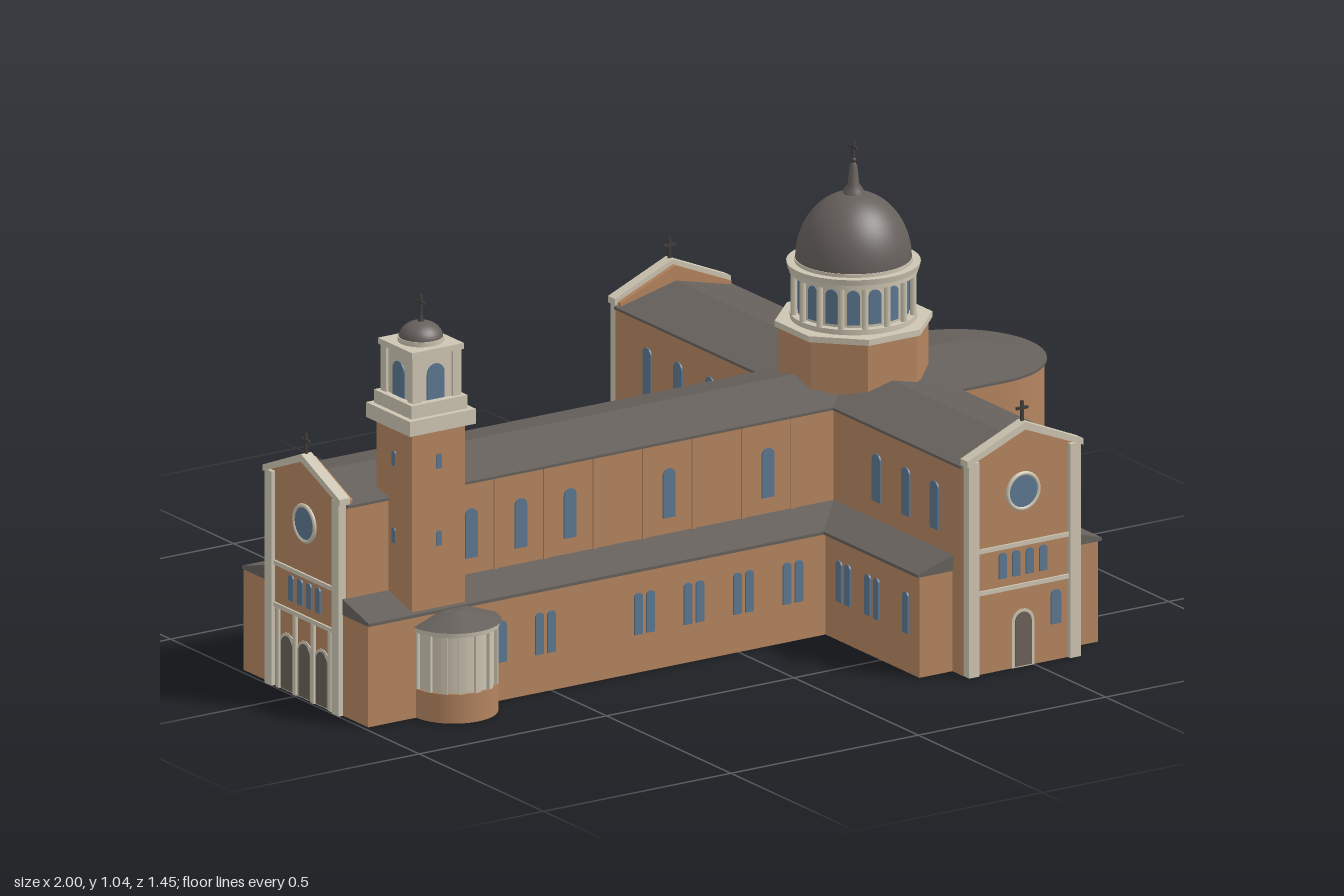
import * as THREE from 'three';

const paint = (name, color) => { const m = new THREE.MeshStandardMaterial({ color }); m.name = name; return m; };
const brick = paint('brick', 0xb4845f), roof = paint('roofSlate', 0x66605c), stone = paint('paleStone', 0xcdc5b2);
const glass = paint('windowBlue', 0x5c7690), wood = paint('doorGrey', 0x6a6058), iron = paint('darkIron', 0x3f3d3c);

const CX = 0.47, CZ = 0.027, APSE_X = 0.745;

function add(parent, name, geo, mat, x = 0, y = 0, z = 0, ry = 0) {
  const m = new THREE.Mesh(geo, mat);
  m.name = name;
  m.position.set(x, y, z);
  m.rotation.y = ry;
  parent.add(m);
  return m;
}
// box given by its min and max corners
function block(parent, name, mat, x0, x1, y0, y1, z0, z1) {
  return add(parent, name, new THREE.BoxGeometry(x1 - x0, y1 - y0, z1 - z0), mat, (x0 + x1) / 2, (y0 + y1) / 2, (z0 + z1) / 2);
}
const cyl = (rt, rb, h, n = 40, start = 0, len = Math.PI * 2) => new THREE.CylinderGeometry(rt, rb, h, n, 1, false, start, len);
const extrude = (pts, depth) => new THREE.ExtrudeGeometry(new THREE.Shape(pts.map(p => new THREE.Vector2(...p))), { depth, bevelEnabled: false });
// profile (x, y) swept along z, or profile (z, y) swept along x
const sweepZ = (g, name, mat, pts, z0, z1) => add(g, name, extrude(pts, z1 - z0), mat, 0, 0, z0);
const sweepX = (g, name, mat, pts, x0, x1) => add(g, name, extrude(pts.map(([z, y]) => [-z, y]), x1 - x0), mat, x0, 0, 0, Math.PI / 2);
const gable = (c, h) => [[c - h, 0.484], [c + h, 0.484], [c + h, 0.49], [c, 0.527], [c - h, 0.49]];
const shed = (inner, outer) => [[inner, 0.236], [outer, 0.236], [outer, 0.243], [inner, 0.273]];

// thin round-headed plate whose foot is at y, facing +z before turning by ry
function arch(parent, name, mat, w, h, x, y, z, ry = 0, depth = 0.006) {
  const s = new THREE.Shape();
  s.moveTo(-w / 2, 0);
  s.lineTo(w / 2, 0);
  s.lineTo(w / 2, h - w / 2);
  s.absarc(0, h - w / 2, w / 2, 0, Math.PI, false);
  s.closePath();
  return add(parent, name, new THREE.ExtrudeGeometry(s, { depth, bevelEnabled: false, curveSegments: 8 }), mat, x, y, z, ry);
}

function cross(parent, x, y, z, h, ry = 0) {
  const g = new THREE.Group();
  g.name = 'cross';
  block(g, 'crossPost', iron, -0.003, 0.003, 0, h, -0.003, 0.003);
  block(g, 'crossArm', iron, -0.015, 0.015, h * 0.64, h * 0.64 + 0.006, -0.003, 0.003);
  g.position.set(x, y, z);
  g.rotation.y = ry;
  parent.add(g);
}

// gabled front facing +z; the main entrance has three doors
function facade(parent, name, x, z, ry, roseMat, doors) {
  const g = new THREE.Group();
  g.name = name;
  sweepZ(g, 'facadeWall', brick, [[-0.148, 0], [0.148, 0], [0.148, 0.5], [0, 0.562], [-0.148, 0.5]], -0.02, 0.008);
  sweepZ(g, 'rakingCornice', stone, [[-0.155, 0.493], [0, 0.556], [0.155, 0.493], [0.155, 0.508], [0, 0.574], [-0.155, 0.508]], -0.008, 0.02);
  for (const s of [-1, 1]) block(g, 'cornerPilaster', stone, s * 0.135 - 0.014, s * 0.135 + 0.014, 0, 0.5, -0.01, 0.018);
  for (const y of [0.19, 0.288]) block(g, 'stringCourse', stone, -0.122, 0.122, y - 0.005, y + 0.005, 0, 0.013);
  add(g, 'roseWindow', cyl(0.04, 0.04, 0.006, 32), roseMat, 0, 0.41, 0.009).rotation.x = Math.PI / 2;
  add(g, 'roseRing', new THREE.TorusGeometry(0.041, 0.005, 8, 32), stone, 0, 0.41, 0.01);
  for (let i = 0; i < 4; i++) arch(g, 'galleryWindow', glass, 0.02, 0.06, -0.054 + i * 0.036, 0.215, 0.006);
  for (const dx of doors) {
    arch(g, 'doorFrame', stone, 0.06, 0.135, dx, 0, 0.004);
    arch(g, 'door', wood, 0.044, 0.125, dx, 0.003, 0.006);
  }
  if (doors.length > 1) for (const dx of [-0.105, -0.036, 0.036, 0.105])
    block(g, 'portalPilaster', stone, dx - 0.006, dx + 0.006, 0, 0.185, 0, 0.014);
  cross(g, 0, 0.565, 0.006, 0.055);
  g.position.set(x, 0, z);
  g.rotation.y = ry;
  parent.add(g);
  return g;
}

function naveAndTransept(g) {
  // walls
  block(g, 'naveWall', brick, -0.98, 0.63, 0, 0.486, CZ - 0.15, CZ + 0.15);
  block(g, 'aisleWall', brick, -0.988, 0.32, 0, 0.238, -0.224, 0.277);
  block(g, 'transeptWall', brick, CX - 0.15, CX + 0.15, 0, 0.486, -0.7, 0.7);
  block(g, 'transeptAisleWall', brick, 0.232, 0.709, 0, 0.238, -0.655, 0.655);
  // roofs
  sweepX(g, 'naveRoof', roof, gable(CZ, 0.156), -0.98, CX);
  sweepZ(g, 'transeptRoof', roof, gable(CX, 0.156), -0.697, 0.697);
  sweepX(g, 'choirRoof', roof, gable(CZ, 0.203), CX, APSE_X);
  for (const s of [-1, 1]) {
    sweepX(g, 'aisleRoof', roof, shed(CZ + s * 0.148, CZ + s * 0.255), -0.99, 0.32);
    for (const e of [-1, 1]) {
      const z0 = e > 0 ? CZ + s * 0.25 : CZ + s * 0.15, z1 = s * 0.66;
      sweepZ(g, 'transeptAisleRoof', roof, shed(CX + e * 0.148, CX + e * 0.246), Math.min(z0, z1), Math.max(z0, z1));
    }
  }
  // nave windows and wall strips, with gaps on the front side
  for (const s of [-1, 1]) {
    const ry = s > 0 ? 0 : Math.PI, upZ = CZ + s * 0.148, lowZ = s > 0 ? 0.275 : -0.222;
    for (let i = -2; i < 7; i++) {
      const x = -0.648 + i * 0.132;
      if (s < 0 || [0, 1, 2, 4, 6].includes(i)) arch(g, 'naveWindow', glass, 0.032, 0.115, x, 0.31, upZ, ry);
      if (s < 0 || (i >= 0 && i !== 2)) for (const d of [-0.016, 0.016]) arch(g, 'aisleWindow', glass, 0.022, 0.097, x + d, 0.09, lowZ, ry);
      block(g, 'wallStrip', brick, x + 0.061, x + 0.071, 0.26, 0.485, upZ - 0.005, upZ + 0.005);
    }
  }
  // transept windows on both long sides
  for (const e of [-1, 1]) {
    const ry = e * Math.PI / 2;
    for (const z of [0.585, 0.47, 0.353, -0.318, -0.446, -0.57]) arch(g, 'transeptWindow', glass, 0.033, 0.112, CX + e * 0.148, 0.315, z, ry);
    for (const z of [0.603, 0.485, 0.45, 0.37, 0.335, -0.33, -0.364, -0.434, -0.468, -0.553])
      arch(g, 'transeptAisleWindow', glass, 0.022, 0.096, CX + e * 0.2365, 0.092, z, ry);
  }
  // gabled fronts
  const front = facade(g, 'frontFacade', CX, 0.703, 0, glass, [0]);
  arch(front, 'sideWindow', glass, 0.026, 0.08, 0.088, 0.085, 0.006);
  facade(g, 'backFacade', CX, -0.703, Math.PI, stone, [0]);
  facade(g, 'entranceFacade', -0.982, CZ, -Math.PI / 2, glass, [-0.07, 0, 0.07]);
}

function apse(g) {
  block(g, 'choirWall', brick, CX, APSE_X, 0, 0.486, CZ - 0.198, CZ + 0.198);
  block(g, 'lowerChoirWall', brick, CX, APSE_X, 0, 0.24, CZ - 0.242, CZ + 0.242);
  const half = (rt, rb, h) => cyl(rt, rb, h, 32, 0, Math.PI);
  add(g, 'upperApseWall', half(0.198, 0.198, 0.486), brick, APSE_X, 0.243, CZ);
  add(g, 'lowerApseWall', half(0.242, 0.242, 0.238), brick, APSE_X, 0.119, CZ);
  add(g, 'upperApseEave', half(0.203, 0.203, 0.006), roof, APSE_X, 0.487, CZ);
  add(g, 'upperApseRoof', half(0.0005, 0.203, 0.037), roof, APSE_X, 0.5085, CZ);
  add(g, 'lowerApseEave', half(0.25, 0.25, 0.006), roof, APSE_X, 0.239, CZ);
  add(g, 'lowerApseRoof', half(0.197, 0.25, 0.03), roof, APSE_X, 0.257, CZ);
  for (const s of [-1, 1]) sweepX(g, 'lowerChoirRoof', roof, shed(CZ + s * 0.197, CZ + s * 0.25), 0.71, APSE_X);
}

function dome(parent) {
  const g = new THREE.Group();
  g.name = 'crossingDome';
  const octagon = (name, mat, apothem, y0, y1) => {
    const geo = cyl(apothem / Math.cos(Math.PI / 8), apothem / Math.cos(Math.PI / 8), y1 - y0, 8).toNonIndexed();
    geo.computeVertexNormals();
    add(g, name, geo, mat, 0, (y0 + y1) / 2, 0, Math.PI / 8);
  };
  octagon('octagonBase', brick, 0.157, 0.45, 0.624);
  octagon('octagonCornice', stone, 0.165, 0.622, 0.636);
  add(g, 'drumFoot', cyl(0.142, 0.142, 0.012), stone, 0, 0.642);
  add(g, 'drum', cyl(0.125, 0.125, 0.11), stone, 0, 0.695);
  for (let i = 0; i < 16; i++) {
    const a = i * Math.PI / 8, b = a + Math.PI / 16;
    add(g, 'drumColumn', cyl(0.0075, 0.0075, 0.1, 10), stone, Math.sin(a) * 0.135, 0.696, Math.cos(a) * 0.135);
    arch(g, 'drumWindow', glass, 0.029, 0.08, Math.sin(b) * 0.122, 0.655, Math.cos(b) * 0.122, b);
  }
  add(g, 'drumArchitrave', cyl(0.143, 0.143, 0.012), stone, 0, 0.748);
  add(g, 'drumCornice', cyl(0.15, 0.147, 0.014), stone, 0, 0.76);
  add(g, 'domeFoot', cyl(0.132, 0.132, 0.01), stone, 0, 0.77);
  const shell = add(g, 'domeShell', new THREE.SphereGeometry(0.13, 48, 20, 0, Math.PI * 2, 0, Math.PI / 2), roof, 0, 0.773);
  shell.scale.y = 1.18;
  // tapering finial
  const profile = [[0.026, 0.915], [0.022, 0.932], [0.013, 0.945], [0.009, 0.985], [0.003, 1.0]].map(p => new THREE.Vector2(...p));
  add(g, 'finial', new THREE.LatheGeometry(profile, 20), roof);
  add(g, 'finialBall', new THREE.SphereGeometry(0.007, 12, 8), iron, 0, 1.0);
  cross(g, 0, 0.998, 0, 0.046, Math.PI / 2);
  g.position.set(CX, 0, CZ + 0.004);
  parent.add(g);
}

function bellTower(parent) {
  const g = new THREE.Group();
  g.name = 'bellTower';
  const tier = (name, mat, w, y0, y1) => block(g, name, mat, -w / 2, w / 2, y0, y1, -w / 2, w / 2);
  tier('towerShaft', brick, 0.142, 0, 0.665);
  tier('balcony', stone, 0.176, 0.663, 0.698);
  tier('belfryFoot', stone, 0.15, 0.698, 0.729);
  tier('belfry', stone, 0.116, 0.729, 0.838);
  tier('belfryCornice', stone, 0.138, 0.836, 0.85);
  add(g, 'capDrum', cyl(0.052, 0.052, 0.012, 24), stone, 0, 0.855);
  add(g, 'capDome', new THREE.SphereGeometry(0.05, 28, 10, 0, Math.PI * 2, 0, Math.PI / 2), roof, 0, 0.858).scale.y = 0.76;
  add(g, 'capFinial', cyl(0.003, 0.008, 0.02, 12), iron, 0, 0.902);
  cross(g, 0, 0.9, 0, 0.056, Math.PI / 2);
  for (let i = 0; i < 4; i++) {
    const a = i * Math.PI / 2, s = Math.sin(a), c = Math.cos(a);
    arch(g, 'belfryOpening', glass, 0.046, 0.082, s * 0.055, 0.73, c * 0.055, a);
    for (const y of [0.39, 0.57]) arch(g, 'slitWindow', glass, 0.014, 0.035, s * 0.068, y, c * 0.068, a);
    const p = i * Math.PI / 2 + Math.PI / 4;
    add(g, 'belfryPilaster', new THREE.BoxGeometry(0.022, 0.108, 0.022), stone, Math.sin(p) * 0.076, 0.783, Math.cos(p) * 0.076);
  }
  g.position.set(-0.797, 0, 0.201);
  parent.add(g);
}

function roundChapel(parent) {
  const g = new THREE.Group();
  g.name = 'roundChapel';
  const half = (rt, rb, h) => cyl(rt, rb, h, 28, -Math.PI / 2, Math.PI);
  add(g, 'chapelBase', half(0.1, 0.1, 0.068), brick, 0, 0.034);
  add(g, 'chapelWall', half(0.094, 0.094, 0.15), stone, 0, 0.139);
  for (let i = 0; i < 9; i++) {
    const a = (i / 8 - 0.5) * Math.PI;
    add(g, 'chapelPilaster', new THREE.BoxGeometry(0.014, 0.135, 0.012), stone, Math.sin(a) * 0.095, 0.135, Math.cos(a) * 0.095, a);
  }
  add(g, 'chapelCornice', half(0.104, 0.102, 0.012), stone, 0, 0.206);
  add(g, 'chapelRoof', half(0.03, 0.107, 0.028), roof, 0, 0.226);
  g.position.set(-0.76, 0, 0.276);
  parent.add(g);
}

export function createModel() {
  const g = new THREE.Group();
  g.name = 'domedChurch';
  naveAndTransept(g);
  apse(g);
  dome(g);
  bellTower(g);
  roundChapel(g);
  return g;
}
